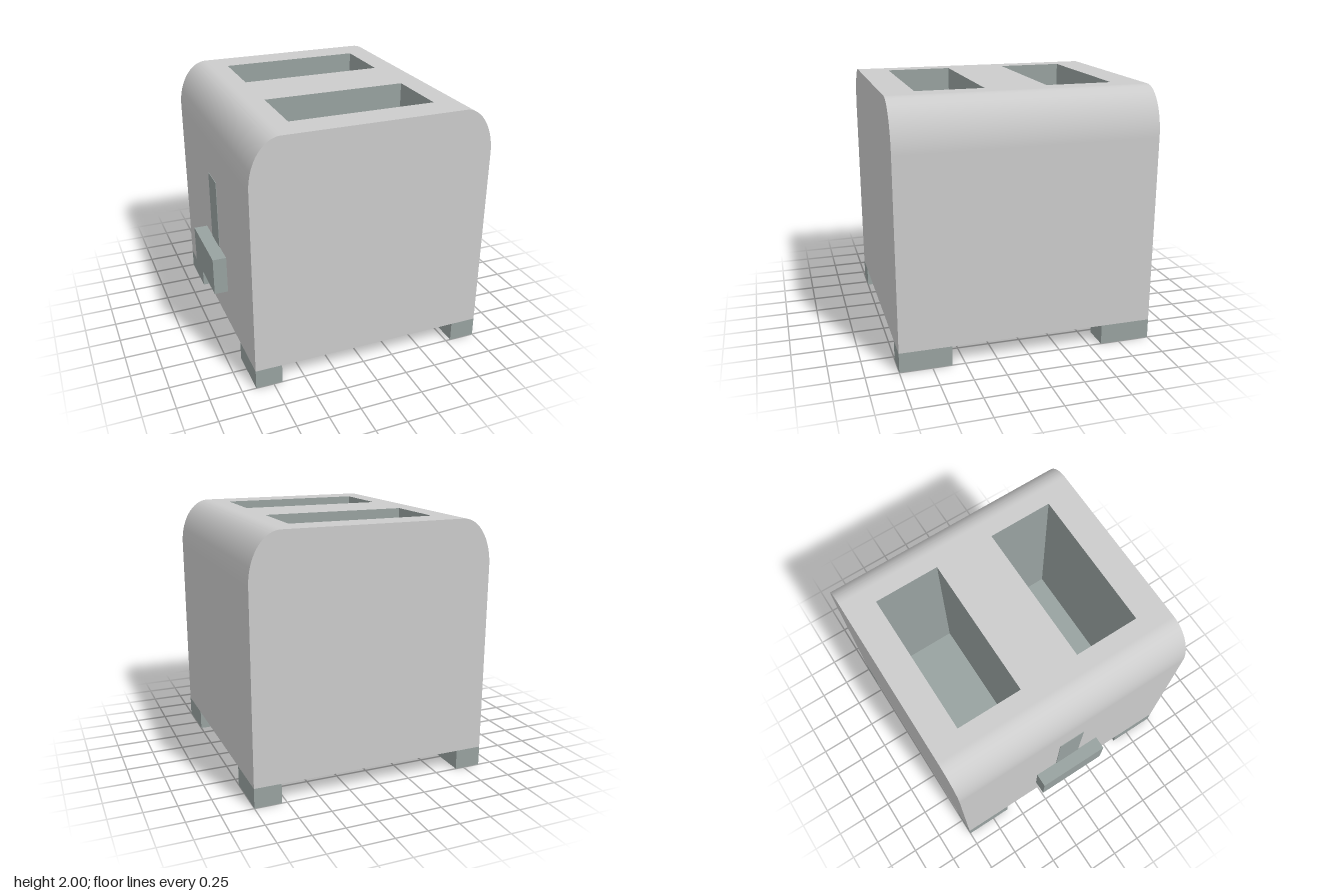
import * as THREE from 'three';
import { toCreasedNormals } from 'three/addons/utils/BufferGeometryUtils.js';

const HALF = 0.945, BASE = 0.155, TOP = 2, RX = 0.24, RY = 0.37;
const SLOT = { w: 1.14, d: 0.52, z: 0.5, floor: 0.7 };

const shellMat = new THREE.MeshStandardMaterial({ color: 0xcccccc });
const trimMat = new THREE.MeshStandardMaterial({ color: 0x98a2a0 });

function add(parent, name, geometry, material, x = 0, y = 0, z = 0) {
  const mesh = new THREE.Mesh(geometry, material);
  mesh.name = name;
  mesh.position.set(x, y, z);
  parent.add(mesh);
  return mesh;
}

// Drops the triangles for which test(y1, y2, y3) is true
function dropTriangles(geometry, test) {
  const g = geometry.index ? geometry.toNonIndexed() : geometry;
  const p = g.attributes.position, kept = [];
  for (let i = 0; i < p.count; i += 3) {
    if (test(p.getY(i), p.getY(i + 1), p.getY(i + 2))) continue;
    for (let k = i; k < i + 3; k++) kept.push(p.getX(k), p.getY(k), p.getZ(k));
  }
  const out = new THREE.BufferGeometry();
  out.setAttribute('position', new THREE.Float32BufferAttribute(kept, 3));
  return toCreasedNormals(out, 0.6);
}

// Rounded-top profile run from front to back, left open on its flat top
function casingGeometry() {
  const s = new THREE.Shape();
  s.moveTo(-HALF, BASE);
  s.lineTo(HALF, BASE);
  s.lineTo(HALF, TOP - RY);
  s.absellipse(HALF - RX, TOP - RY, RX, RY, 0, Math.PI / 2, false);
  s.lineTo(-HALF + RX, TOP);
  s.absellipse(-HALF + RX, TOP - RY, RX, RY, Math.PI / 2, Math.PI, false);
  s.closePath();
  const g = new THREE.ExtrudeGeometry(s, { depth: 2, bevelEnabled: false, curveSegments: 20 });
  g.translate(0, 0, -1);
  return dropTriangles(g, (...ys) => ys.every(y => y > TOP - 1e-4));
}

function rectangle(path, w, d, cy = 0) {
  path.moveTo(-w / 2, cy - d / 2);
  path.lineTo(w / 2, cy - d / 2);
  path.lineTo(w / 2, cy + d / 2);
  path.lineTo(-w / 2, cy + d / 2);
  path.closePath();
  return path;
}

export function createModel() {
  const model = new THREE.Group();
  model.name = 'toaster';
  const body = new THREE.Group();
  body.name = 'body';
  body.position.x = 0.055;
  model.add(body);

  add(body, 'casing', casingGeometry(), shellMat);

  // Flat top panel with two slot openings
  const panel = rectangle(new THREE.Shape(), 2 * (HALF - RX), 2);
  for (const side of [-1, 1]) panel.holes.push(rectangle(new THREE.Path(), SLOT.w, SLOT.d, side * SLOT.z));
  add(body, 'topPanel', new THREE.ShapeGeometry(panel).rotateX(-Math.PI / 2), shellMat, 0, TOP, 0);

  // Slot linings: open boxes seen from the inside
  const depth = TOP - SLOT.floor;
  const liningMat = trimMat.clone();
  liningMat.side = THREE.DoubleSide;
  const lining = dropTriangles(new THREE.BoxGeometry(SLOT.w, depth, SLOT.d),
    (...ys) => ys.every(y => y > depth / 2 - 1e-4));
  for (const side of [-1, 1]) add(body, 'breadSlot', lining, liningMat, 0, TOP - depth / 2, side * SLOT.z);

  // Four corner feet
  const foot = new THREE.BoxGeometry(0.21, BASE, 0.4);
  for (const sx of [-1, 1])
    for (const sz of [-1, 1]) add(body, 'foot', foot, trimMat, sx * (HALF - 0.105), BASE / 2, sz * 0.8);

  // Lever and its track on the side
  add(body, 'leverTrack', new THREE.BoxGeometry(0.008, 0.86, 0.22), trimMat, -HALF, 0.9, 0);
  add(body, 'lever', new THREE.BoxGeometry(0.11, 0.31, 0.6), trimMat, -HALF - 0.055, 0.605, 0);

  return model;
}
